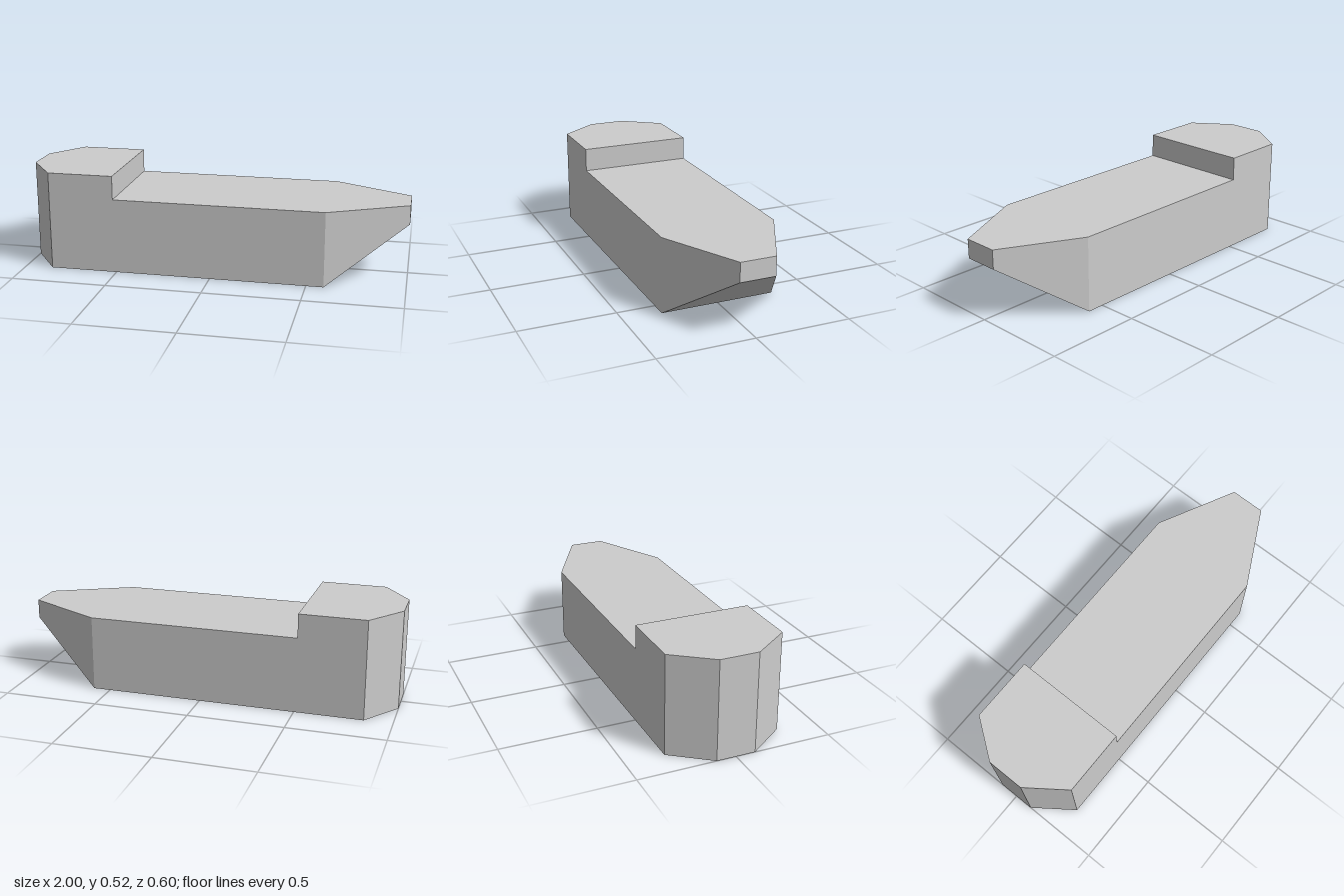
import * as THREE from 'three';

// Rectangular cross-section at x, between heights y0 and y1, half width h
const section = (x, y0, y1, h) => [[x, y0, h], [x, y1, h], [x, y1, -h], [x, y0, -h]];

// Joins sections with flat faces; optionally closes the aft or fore end
function loft(sections, { capAft = false, capFore = false } = {}) {
  const positions = [];
  const quad = (a, b, c, d) => {
    for (const p of [a, b, c, a, c, d]) positions.push(...p);
  };
  for (let s = 0; s < sections.length - 1; s++) {
    const a = sections[s], b = sections[s + 1];
    for (let i = 0; i < 4; i++) {
      // At a vertical step only the top edge spans any area
      if (a[0][0] === b[0][0] && i !== 1) continue;
      const j = (i + 1) % 4;
      quad(a[i], b[i], b[j], a[j]);
    }
  }
  if (capAft) quad(...sections[0]);
  if (capFore) quad(...[...sections[sections.length - 1]].reverse());
  const geometry = new THREE.BufferGeometry();
  geometry.setAttribute('position', new THREE.Float32BufferAttribute(positions, 3));
  geometry.computeVertexNormals();
  return geometry;
}

export function createModel() {
  const model = new THREE.Group();
  model.name = 'ship';
  const hullGrey = new THREE.MeshStandardMaterial({ color: 0xcccccc });
  hullGrey.name = 'hullGrey';

  const add = (name, geometry) => {
    const mesh = new THREE.Mesh(geometry, hullGrey);
    mesh.name = name;
    model.add(mesh);
  };

  const transom = section(-1, 0, 0.52, 0.1);
  const sternShoulder = section(-0.855, 0, 0.52, 0.3);
  const stepTop = section(-0.51, 0, 0.52, 0.3);
  const stepFoot = section(-0.51, 0, 0.395, 0.3);
  const bowShoulder = section(0.59, 0, 0.395, 0.3);
  const bowTip = section(1, 0.295, 0.395, 0.092);

  // Raised stern with its step down to the deck
  add('stern', loft([transom, sternShoulder, stepTop, stepFoot], { capAft: true }));
  // Straight middle hull
  add('midHull', loft([stepFoot, bowShoulder]));
  // Tapered bow with raked underside
  add('bow', loft([bowShoulder, bowTip], { capFore: true }));

  return model;
}
